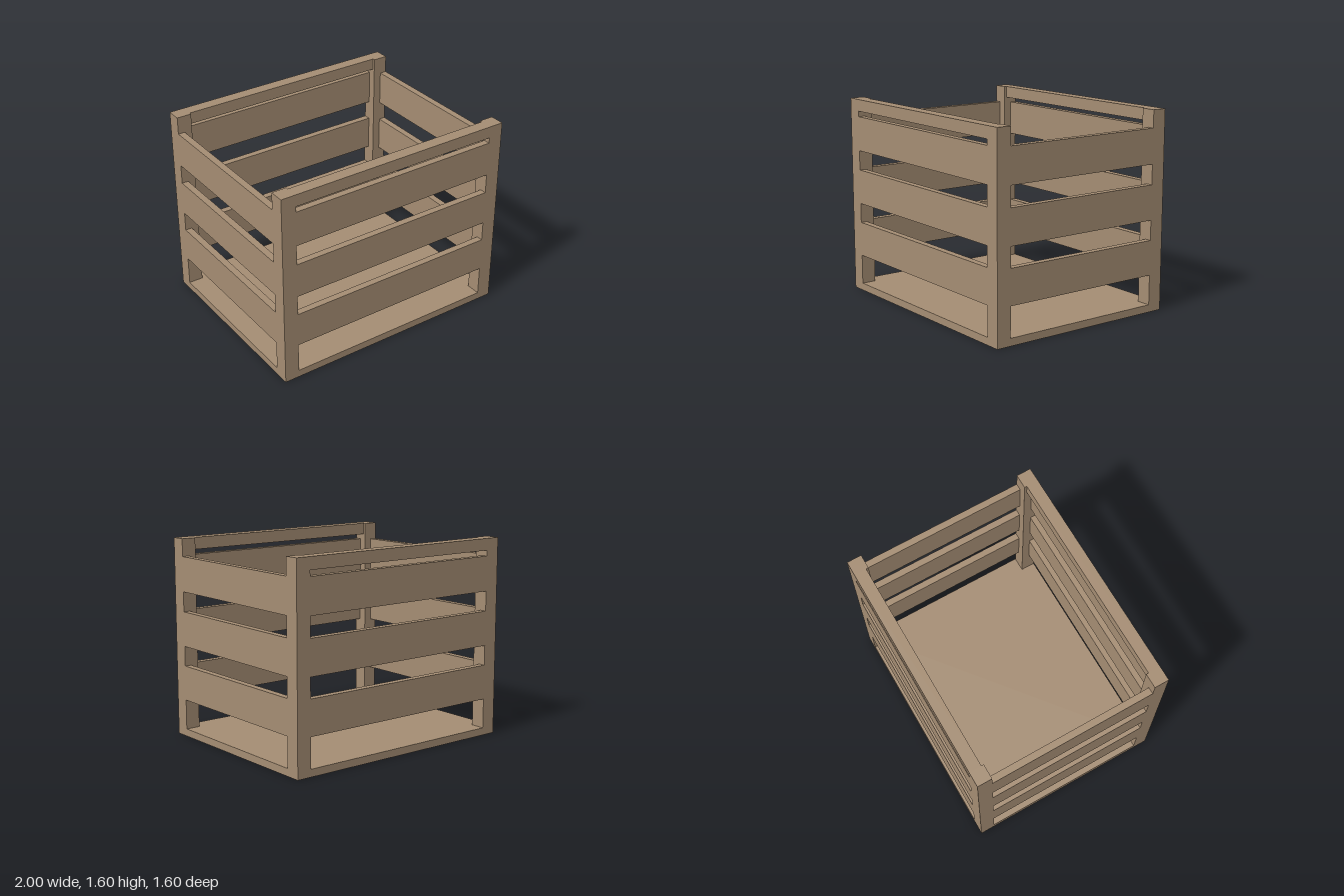
import * as THREE from 'three';

export function createModel() {
  const group = new THREE.Group();
  group.name = 'slattedCrate';
  const wood = new THREE.MeshStandardMaterial({ color: 0xa58d73 });
  wood.name = 'wood';

  // Box given by its lower and upper limits on each axis
  const board = (name, x0, x1, y0, y1, z0, z1) => {
    const mesh = new THREE.Mesh(new THREE.BoxGeometry(x1 - x0, y1 - y0, z1 - z0), wood);
    mesh.position.set((x0 + x1) / 2, (y0 + y1) / 2, (z0 + z1) / 2);
    mesh.name = name;
    group.add(mesh);
  };

  const W = 1, D = 0.8, H = 1.6;
  const post = 0.12, floor = 0.06, slat = 0.055, rail = 0.1;
  const px = W - post, pz = D - post;
  const slatBottoms = [0.3, 0.74, 1.18], slatHeight = 0.28;

  // Floor panel
  board('floor', -W, W, 0, floor, -D, D);

  // Corner posts
  for (const [side, x] of [['Left', px], ['Right', -W]]) {
    board('frontPost' + side, x, x + post, floor, H, pz, D);
    board('backPost' + side, x, x + post, floor, H, -D, -pz);
  }

  // Slats on all four walls, flush with the outside of the posts
  slatBottoms.forEach((y, i) => {
    const top = y + slatHeight, n = i + 1;
    board('frontSlat' + n, -px, px, y, top, D - slat, D);
    board('backSlat' + n, -px, px, y, top, -D, -D + slat);
    board('leftSlat' + n, W - slat, W, y, top, -pz, pz);
    board('rightSlat' + n, -W, -W + slat, y, top, -pz, pz);
  });

  // Thicker top rails on the front and back
  board('frontTopRail', -px, px, 1.505, H, D - rail, D);
  board('backTopRail', -px, px, 1.505, H, -D, -D + rail);

  return group;
}
